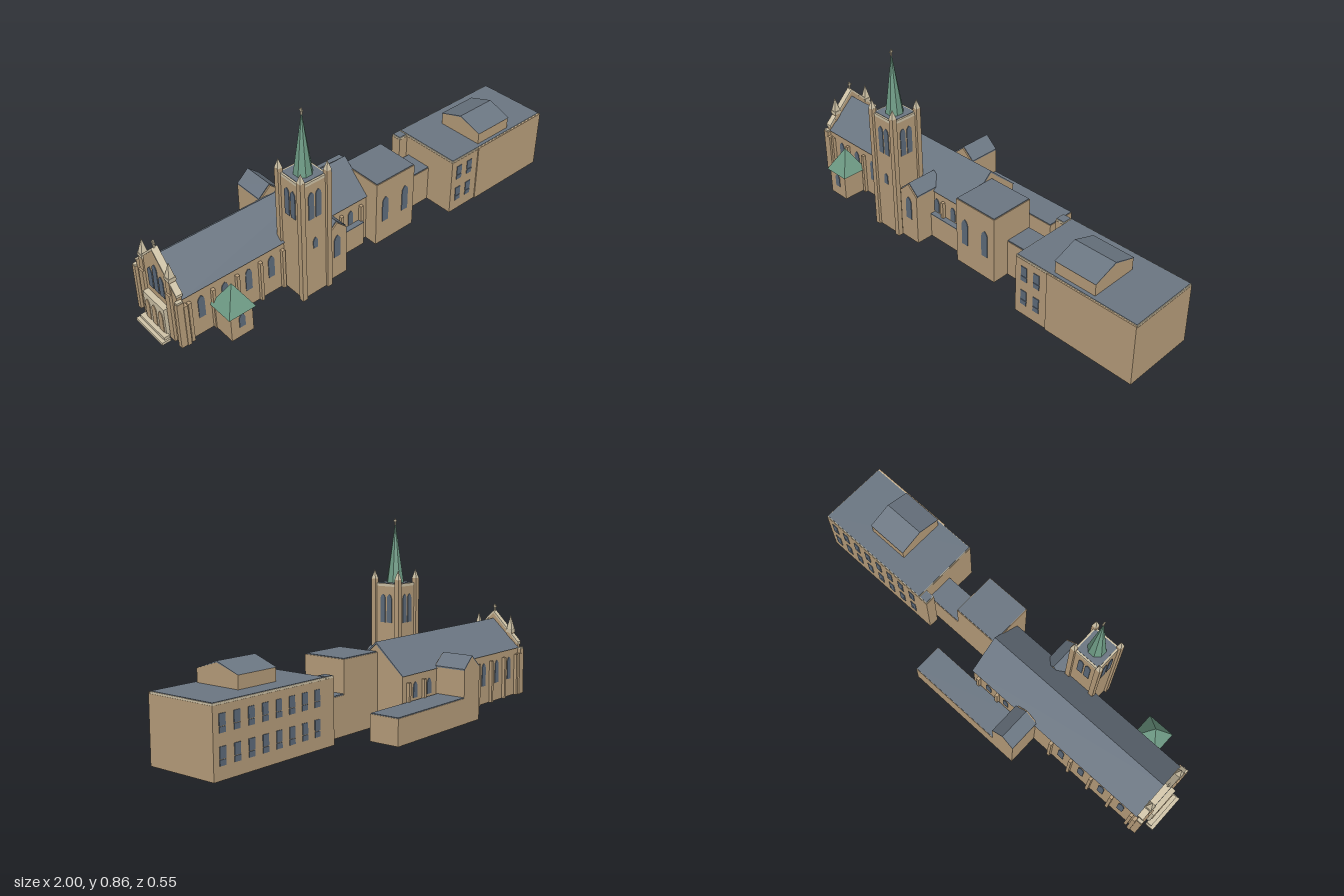
import * as THREE from 'three';

const mat = (name, color, side = THREE.FrontSide) => {
  const m = new THREE.MeshStandardMaterial({ color, side });
  m.name = name;
  return m;
};

export function createModel() {
  const root = new THREE.Group();
  root.name = 'church';
  const brick = mat('tan brick', 0xb99f7c, THREE.DoubleSide);
  const slate = mat('grey slate', 0x6b7682);
  const glass = mat('blue grey glass', 0x5f6d7d);
  const stone = mat('pale stone', 0xd0c4a8);
  const copper = mat('green copper', 0x6f9c86);

  const add = (name, geo, material, x = 0, y = 0, z = 0, ry = 0) => {
    const m = new THREE.Mesh(geo, material);
    m.name = name;
    m.position.set(x, y, z);
    m.rotation.y = ry;
    root.add(m);
    return m;
  };
  // Box given by its limits
  const block = (name, material, x0, x1, y0, y1, z0, z1, open = false) => {
    const g = new THREE.BoxGeometry(x1 - x0, y1 - y0, z1 - z0);
    if (open) { // leave out the underside
      const idx = Array.from(g.index.array);
      idx.splice(18, 6);
      g.setIndex(idx);
      g.clearGroups();
    }
    return add(name, g, material, (x0 + x1) / 2, (y0 + y1) / 2, (z0 + z1) / 2);
  };
  const polygon = (pts) => new THREE.Shape(pts.map(([x, y]) => new THREE.Vector2(x, y)));
  const extrude = (shape, depth) =>
    new THREE.ExtrudeGeometry(shape, { depth, bevelEnabled: false, curveSegments: 5 });
  // Pyramid with square sides along the axes, or a faceted cone
  const cone = (name, material, r, h, sides, x, y, z) => {
    const g = new THREE.ConeGeometry(r, h, sides, 1);
    g.rotateY(Math.PI / sides);
    const flat = g.toNonIndexed();
    flat.computeVertexNormals();
    return add(name, flat, material, x, y + h / 2, z);
  };
  // Thin window plates, ry turns them to the wall's facing
  const lancet = (x, y, z, w, h, ry = 0, material = glass) => {
    const s = new THREE.Shape();
    const spring = h - w * 0.9;
    s.moveTo(-w / 2, 0);
    s.lineTo(w / 2, 0);
    s.lineTo(w / 2, spring);
    s.quadraticCurveTo(w / 2, h - w * 0.3, 0, h);
    s.quadraticCurveTo(-w / 2, h - w * 0.3, -w / 2, spring);
    add('lancetWindow', extrude(s, 0.003), material, x, y, z, ry);
  };
  const cross = (x, y, z, s) => {
    block('crossPost', stone, x - s * 0.1, x + s * 0.1, y, y + s, z - s * 0.1, z + s * 0.1);
    block('crossArm', stone, x - s * 0.08, x + s * 0.08, y + s * 0.58, y + s * 0.76, z - s * 0.3, z + s * 0.3);
  };
  // Gabled body with its ridge along z, and two roof slabs
  const gableZ = (name, x0, x1, z0, z1, eave, ridge) => {
    const c = (x0 + x1) / 2, t = 0.006;
    add(name, extrude(polygon([[x0, 0], [x1, 0], [x1, eave], [c, ridge], [x0, eave]]), z1 - z0), brick, 0, 0, z0);
    add(name + 'Roof', extrude(polygon([[x0, eave], [c, ridge], [x1, eave], [x1, eave + t], [c, ridge + t], [x0, eave + t]]),
      z1 - z0 - 0.006), slate, 0, 0, z0);
  };
  // Profile in (z, y) extruded along x
  const alongX = (name, pts, x0, x1, material) =>
    add(name, extrude(polygon(pts.map(([z, y]) => [-z, y]).reverse()), x1 - x0), material, x0, 0, 0, Math.PI / 2);

  // Nave
  const N = -0.13, S = 0.146, C = 0.008;
  alongX('nave', [[S, 0], [N, 0], [N, 0.232], [C, 0.352], [S, 0.232]], -0.925, 0.015, brick);
  alongX('naveRoof', [[S + 0.006, 0.227], [S, 0.227], [C, 0.35], [N, 0.227], [N - 0.006, 0.227], [C, 0.36]], -0.92, 0.018, slate);

  // Nave buttresses and windows on both sides
  for (const [z, dir] of [[S, 1], [N, -1]]) {
    const ry = dir > 0 ? 0 : Math.PI;
    for (const x of [-0.895, -0.785, -0.67, -0.557, -0.445, -0.13, -0.02]) {
      const a = z - dir * 0.004, b = z + dir * 0.015;
      block('buttress', brick, x - 0.007, x + 0.007, 0, 0.197, Math.min(a, b), Math.max(a, b));
    }
    for (const x of [-0.838, -0.727, -0.613, -0.5]) lancet(x, 0.085, z, 0.03, 0.107, ry);
    for (const x of [-0.175, -0.075]) lancet(x, 0.125, z, 0.028, 0.068, ry);
  }

  // Entrance front
  alongX('frontGable', [[S, 0], [N, 0], [N, 0.247], [C, 0.393], [S, 0.247]], -0.94, -0.918, brick);
  for (const d of [-1, 1]) {
    alongX('gableCoping', d > 0
      ? [[S + 0.004, 0.243], [C, 0.386], [C, 0.398], [S + 0.004, 0.255]]
      : [[C, 0.386], [N - 0.004, 0.243], [N - 0.004, 0.255], [C, 0.398]], -0.943, -0.915, stone);
    const z = C + d * 0.091;
    block('frontButtress', brick, -0.952, -0.922, 0, 0.235, z - 0.015, z + 0.015);
    block('frontTurret', brick, -0.945, -0.915, 0.235, 0.3, z - 0.014, z + 0.014);
    block('turretBand', stone, -0.947, -0.913, 0.298, 0.314, z - 0.016, z + 0.016);
    cone('turretPinnacle', stone, 0.02, 0.068, 4, -0.93, 0.314, z);
    const zc = C + d * 0.144;
    block('cornerButtress', brick, -0.952, -0.922, 0, 0.22, zc - 0.01, zc + 0.01);
    block('cornerButtressCap', stone, -0.95, -0.924, 0.22, 0.228, zc - 0.008, zc + 0.008);
    block('cornerButtressSide', brick, -0.925, -0.908, 0, 0.2, zc - 0.014, zc + 0.014);
  }
  cross(-0.93, 0.395, C, 0.034);
  for (const [dz, h] of [[-0.038, 0.1], [0, 0.135], [0.038, 0.1]])
    lancet(-0.94, 0.18, C + dz, 0.03, h, -Math.PI / 2);
  block('portal', stone, -0.965, -0.938, 0, 0.148, C - 0.072, C + 0.072);
  for (const dz of [-0.045, 0, 0.045]) lancet(-0.965, 0.025, C + dz, 0.03, 0.1, -Math.PI / 2, brick);
  block('lowerStep', stone, -1, -0.96, 0, 0.012, C - 0.092, C + 0.092);
  block('upperStep', stone, -0.985, -0.96, 0.012, 0.025, C - 0.085, C + 0.085);

  // Baptistery with pyramid roof
  block('baptistery', brick, -0.787, -0.683, 0, 0.122, 0.14, 0.26, true);
  cone('baptisteryRoof', copper, 0.064 * Math.SQRT2, 0.112, 4, -0.735, 0.12, 0.205);
  lancet(-0.735, 0.05, 0.26, 0.028, 0.065);

  // Bell tower
  const tx = -0.367, tz = 0.198, tw = 0.066;
  block('tower', brick, tx - tw, tx + tw, 0, 0.555, tz - tw, tz + tw, true);
  block('towerCornice', stone, tx - tw, tx + tw, 0.555, 0.568, tz - tw, tz + tw);
  block('towerRoof', slate, tx - tw + 0.008, tx + tw - 0.008, 0.568, 0.57, tz - tw + 0.008, tz + tw - 0.008);
  for (const sx of [-1, 1]) for (const sz of [-1, 1]) {
    const x = tx + sx * 0.066, z = tz + sz * 0.066;
    block('towerTurret', brick, x - 0.0115, x + 0.0115, 0, 0.588, z - 0.0115, z + 0.0115);
    cone('towerPinnacle', stone, 0.016, 0.042, 4, x, 0.588, z);
  }
  cone('spire', copper, 0.04, 0.275, 8, tx, 0.57, tz);
  cross(tx, 0.83, tz, 0.028);
  for (let i = 0; i < 4; i++) {
    const a = i * Math.PI / 2;
    for (const o of [-0.018, 0.018])
      lancet(tx + Math.sin(a) * tw + Math.cos(a) * o, 0.39, tz + Math.cos(a) * tw - Math.sin(a) * o, 0.027, 0.13, a);
  }
  lancet(tx, 0.238, tz + tw, 0.022, 0.052);

  // Gabled side chapel beside the tower and low aisle
  gableZ('sideChapel', -0.292, -0.19, 0.1, 0.25, 0.236, 0.284);
  lancet(-0.241, 0.11, 0.25, 0.034, 0.11);
  block('aisle', brick, -0.19, -0.02, 0, 0.115, 0.13, 0.17, true);
  block('aisleRoof', slate, -0.19, -0.02, 0.115, 0.119, 0.13, 0.172);

  // Back transept and low wing
  gableZ('backTransept', -0.347, -0.23, -0.275, -0.12, 0.232, 0.284);
  block('backWing', brick, -0.23, 0.235, 0, 0.112, -0.275, -0.135, true);
  block('backWingRoof', slate, -0.23, 0.233, 0.112, 0.116, -0.273, -0.137);

  // Choir hall and link
  block('choirHall', brick, 0.015, 0.235, 0, 0.316, 0, 0.21, true);
  block('choirHallRoof', slate, 0.018, 0.232, 0.316, 0.32, 0.003, 0.207);
  for (const x of [0.066, 0.181]) lancet(x, 0.108, 0.21, 0.034, 0.127);
  block('link', brick, 0.235, 0.412, 0, 0.17, 0, 0.13, true);
  block('linkRoof', slate, 0.235, 0.412, 0.17, 0.175, 0.002, 0.128);

  // School building, with a shallow step in its front
  const school = [[0.412, 0.998, -0.06, 0.27], [0.366, 0.412, -0.06, -0.012]];
  for (const [x0, x1, z0, z1] of school) {
    block('schoolWalls', brick, x0, x1, 0, 0.27, z0, z1, true);
    block('schoolCornice', stone, x0 + 0.001, x1 - 0.001, 0.27, 0.278, z0 + 0.001, z1 - 0.001);
    block('schoolRoof', slate, x0 + 0.004, x1 - 0.004, 0.278, 0.28, z0 + 0.004, z1 - 0.004);
  }
  block('schoolFrontStep', brick, 0.575, 0.998, 0, 0.277, 0.268, 0.275);
  const pane = (x, y, z) => {
    for (const [dy, h] of [[0.012, 0.044], [-0.024, 0.022]])
      block('schoolWindow', glass, x - 0.015, x + 0.015, y + dy - h / 2, y + dy + h / 2, z - 0.003, z + 0.003);
  };
  for (const y of [0.205, 0.088]) {
    for (const x of [0.457, 0.522]) pane(x, y, 0.27);
    for (let i = 0; i < 8; i++) pane(0.955 - i * 0.07, y, -0.06);
  }

  // Rooftop house
  block('roofHouse', brick, 0.595, 0.79, 0.279, 0.336, 0.03, 0.25);
  alongX('roofHouseGable', [[0.25, 0.336], [0.03, 0.336], [0.14, 0.37]], 0.595, 0.79, brick);
  alongX('roofHouseRoof', [[0.253, 0.335], [0.25, 0.335], [0.14, 0.369], [0.03, 0.335], [0.027, 0.335], [0.14, 0.375]], 0.593, 0.792, slate);

  return root;
}
